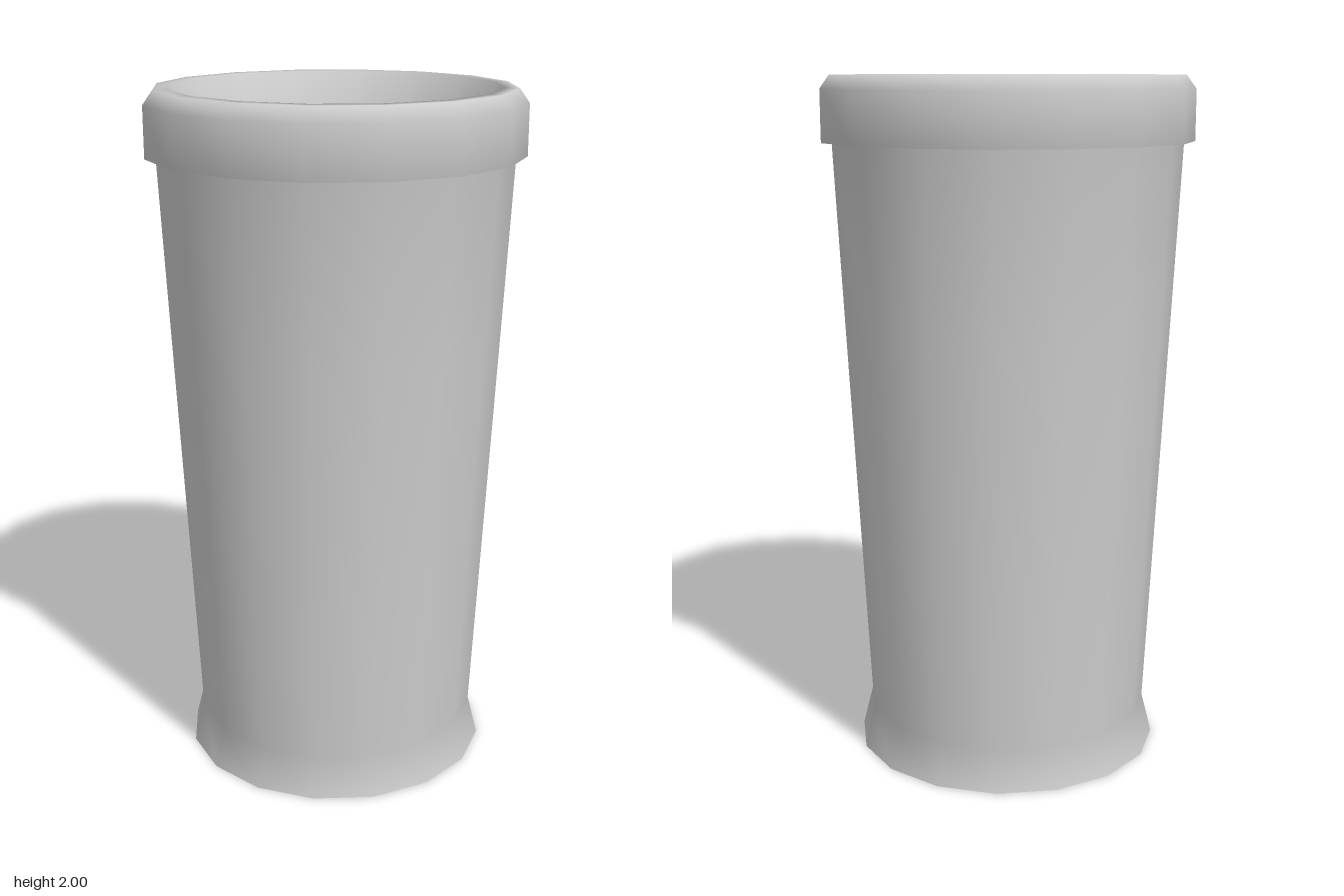
import * as THREE from 'three';

const SIDES = 16;
const TILT = THREE.MathUtils.degToRad(5.4);

export function createModel() {
  const group = new THREE.Group();
  const material = new THREE.MeshStandardMaterial({ color: 0xcccccc });

  const add = (name, geometry, y = 0) => {
    const mesh = new THREE.Mesh(geometry, material);
    mesh.name = name;
    mesh.position.y = y;
    group.add(mesh);
  };

  // Flared foot, tapered wall, rounded rim and inner lip in one smooth profile
  const profile = [
    [0.452, 0], [0.422, 0.12], [0.482, 1.3], [0.508, 1.82],
    [0.539, 1.815], [0.539, 1.96], [0.51, 2], [0.468, 2], [0.422, 1.85],
  ].map(([r, y]) => new THREE.Vector2(r, y));
  add('cupWall', new THREE.LatheGeometry(profile, SIDES, TILT));

  // Flat surface inside the rim
  add('fillSurface', new THREE.CircleGeometry(0.422, SIDES, TILT).rotateX(-Math.PI / 2), 1.85);

  // Underside
  add('base', new THREE.CircleGeometry(0.452, SIDES, -TILT).rotateX(Math.PI / 2));

  return group;
}
